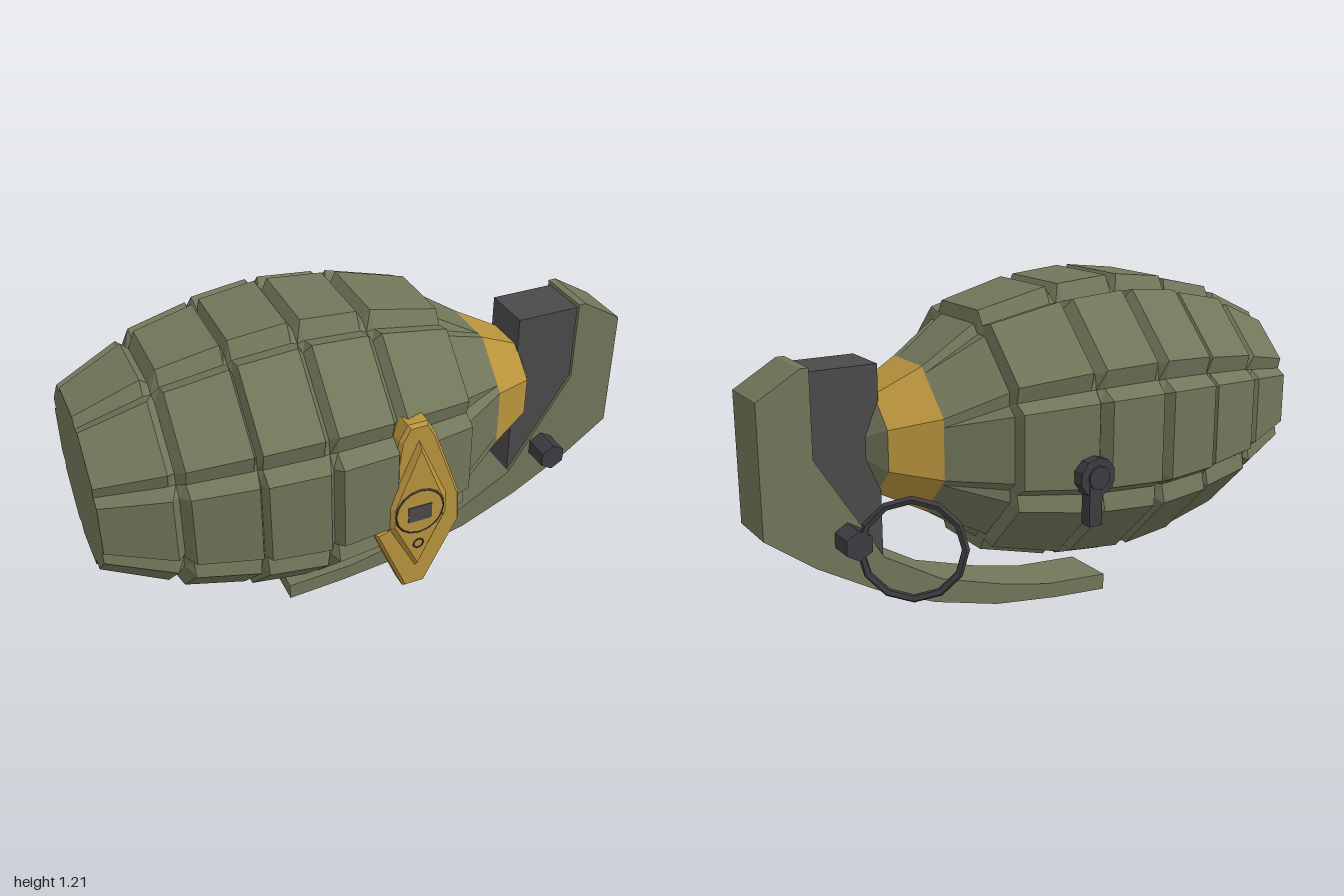
import * as THREE from 'three';

const mat = (name, color) => {
  const m = new THREE.MeshStandardMaterial({ color, flatShading: true });
  m.name = name;
  return m;
};

const AXIS_Y = 0.7;
const SIDES = 8;

// Octagonal cross-section across x: each side is a flat panel, each corner a groove.
// r = distance to the panel, n = groove corner radius relative to r (1.082 = plain corner)
function section([x, r, n]) {
  const pts = [];
  const add = (a, rho) => pts.push([x, AXIS_Y + Math.cos(a) * rho, Math.sin(a) * rho]);
  const half = Math.atan(0.3), rim = r / Math.cos(half);
  for (let k = 0; k < SIDES; k++) {
    const a = (k * 2 * Math.PI) / SIDES;
    add(a - half, rim);
    add(a + half, rim);
    add(a + Math.PI / SIDES, r * n);
  }
  return pts;
}

function loft(rings, capStart, capEnd) {
  const rows = rings.map(section), v = [];
  const tri = (...p) => p.forEach((q) => v.push(...q));
  const n = rows[0].length;
  for (let j = 0; j < n; j++) {
    const k = (j + 1) % n;
    for (let i = 0; i < rows.length - 1; i++) {
      const a = rows[i], b = rows[i + 1];
      tri(a[j], a[k], b[j]);
      tri(a[k], b[k], b[j]);
    }
    const first = rows[0], last = rows[rows.length - 1];
    if (capStart) tri([rings[0][0], AXIS_Y, 0], first[k], first[j]);
    if (capEnd) tri([rings[rings.length - 1][0], AXIS_Y, 0], last[j], last[k]);
  }
  const g = new THREE.BufferGeometry();
  g.setAttribute('position', new THREE.Float32BufferAttribute(v, 3));
  g.computeVertexNormals();
  return g;
}

// Side outline in x, y pushed from z0 to z1, optionally with a chamfered rim
function slab(points, z0, z1, bevel = 0, inset = 0) {
  const shape = new THREE.Shape(points.map((p) => new THREE.Vector2(...p)));
  const g = new THREE.ExtrudeGeometry(shape, {
    depth: z1 - z0 - 2 * bevel, bevelEnabled: bevel > 0, bevelSegments: 1,
    bevelThickness: bevel, bevelSize: inset, bevelOffset: -inset,
  });
  return g.translate(0, 0, z0 + bevel);
}

// Cylinder along z
const disc = (r, depth, sides) => new THREE.CylinderGeometry(r, r, depth, sides).rotateX(Math.PI / 2);

export function createModel() {
  const green = mat('olive green', 0x72765a);
  const gold = mat('brass yellow', 0xb8933c);
  const grey = mat('fuse grey', 0x4a4a4b);
  const dark = mat('dark steel', 0x3c3c41);

  const model = new THREE.Group();
  model.name = 'grenade';
  const add = (name, geo, material, x = 0, y = 0, z = 0, parent = model) => {
    const m = new THREE.Mesh(geo, material);
    m.name = name;
    m.position.set(x, y, z);
    parent.add(m);
    return m;
  };

  // Segmented body: bands of panels divided by grooves
  const G = 0.96;
  const bands = [
    [-1, 0.3, -0.785, 0.395], [-0.735, 0.425, -0.53, 0.47], [-0.505, 0.483, -0.31, 0.505],
    [-0.265, 0.505, -0.07, 0.488], [-0.02, 0.482, 0.23, 0.42],
  ];
  const rings = [];
  bands.forEach(([x0, r0, x1, r1], i) => {
    rings.push([x0, r0, G], [x1, r1, G]);
    const next = bands[i + 1];
    if (next) rings.push([(x1 + next[0]) / 2, (r1 + next[1]) / 2 - 0.035, 1.01]);
  });
  rings.push([0.24, 0.375, 0.99], [0.43, 0.25, 1.082]);
  add('body', loft(rings, true, false), green);
  add('neckBand', loft([[0.43, 0.25, 1.082], [0.59, 0.168, 1.082]], false, false), gold);
  add('neckTip', loft([[0.59, 0.168, 1.082], [0.64, 0.085, 1.082]], false, true), green);

  // Fuse block and curved safety lever
  add('fuseBlock', slab([[0.585, 0.975], [0.585, 0.32], [0.825, 0.69], [0.825, 0.975]], -0.093, 0.093), grey);
  add('lever', slab([
    [0.822, 0.99], [0.85, 0.99], [1, 0.9], [1, 0.45], [0.83, 0.325], [0.62, 0.205], [0.4, 0.11],
    [0.15, 0.045], [-0.1, 0.015], [-0.32, 0], [-0.32, 0.06], [-0.07, 0.075], [0.12, 0.115],
    [0.37, 0.19], [0.585, 0.315], [0.822, 0.69],
  ], -0.105, 0.105), green);

  // Safety pin and pull ring
  add('pin', disc(0.052, 0.4, 6), dark, 0.715, 0.41, 0);
  add('pullRing', new THREE.TorusGeometry(0.17, 0.014, 5, 12), dark, 0.56, 0.39, -0.268).rotation.y = -0.54;

  // Brass badge on the front
  const badge = new THREE.Group();
  badge.name = 'badge';
  model.add(badge);
  add('badgePlate', slab([
    [-0.035, 0.94], [-0.065, 0.885], [-0.1, 0.62], [-0.11, 0.545], [-0.15, 0.535], [-0.04, 0.27], [0.04, 0.27],
    [0.165, 0.51], [0.16, 0.62], [0.065, 0.885], [0.035, 0.94],
  ], 0.4, 0.483, 0.012, 0.01), gold, 0, 0, 0, badge);
  add('badgeDiamond', slab([
    [0, 0.88], [-0.105, 0.64], [-0.105, 0.56], [0, 0.36], [0.105, 0.56], [0.105, 0.64],
  ], 0.465, 0.503, 0.018, 0.018), gold, 0, 0, 0, badge);
  add('badgeHub', disc(0.085, 0.02, 12), gold, 0, 0.61, 0.498, badge);
  add('hubRim', new THREE.TorusGeometry(0.086, 0.004, 4, 16), dark, 0, 0.61, 0.506, badge);
  add('hubSocket', new THREE.BoxGeometry(0.085, 0.06, 0.006), grey, 0, 0.605, 0.508, badge);
  add('rivetRim', new THREE.TorusGeometry(0.018, 0.003, 4, 10), dark, 0, 0.472, 0.504, badge);

  // Latch on the back
  const latch = new THREE.Group();
  latch.name = 'latch';
  model.add(latch);
  add('latchDisc', disc(0.068, 0.06, 10), dark, 0, 0.605, -0.475, latch);
  add('latchCap', disc(0.04, 0.012, 10), dark, 0, 0.605, -0.508, latch);
  add('latchTab', new THREE.BoxGeometry(0.05, 0.14, 0.045), dark, 0.01, 0.51, -0.485, latch);

  return model;
}
